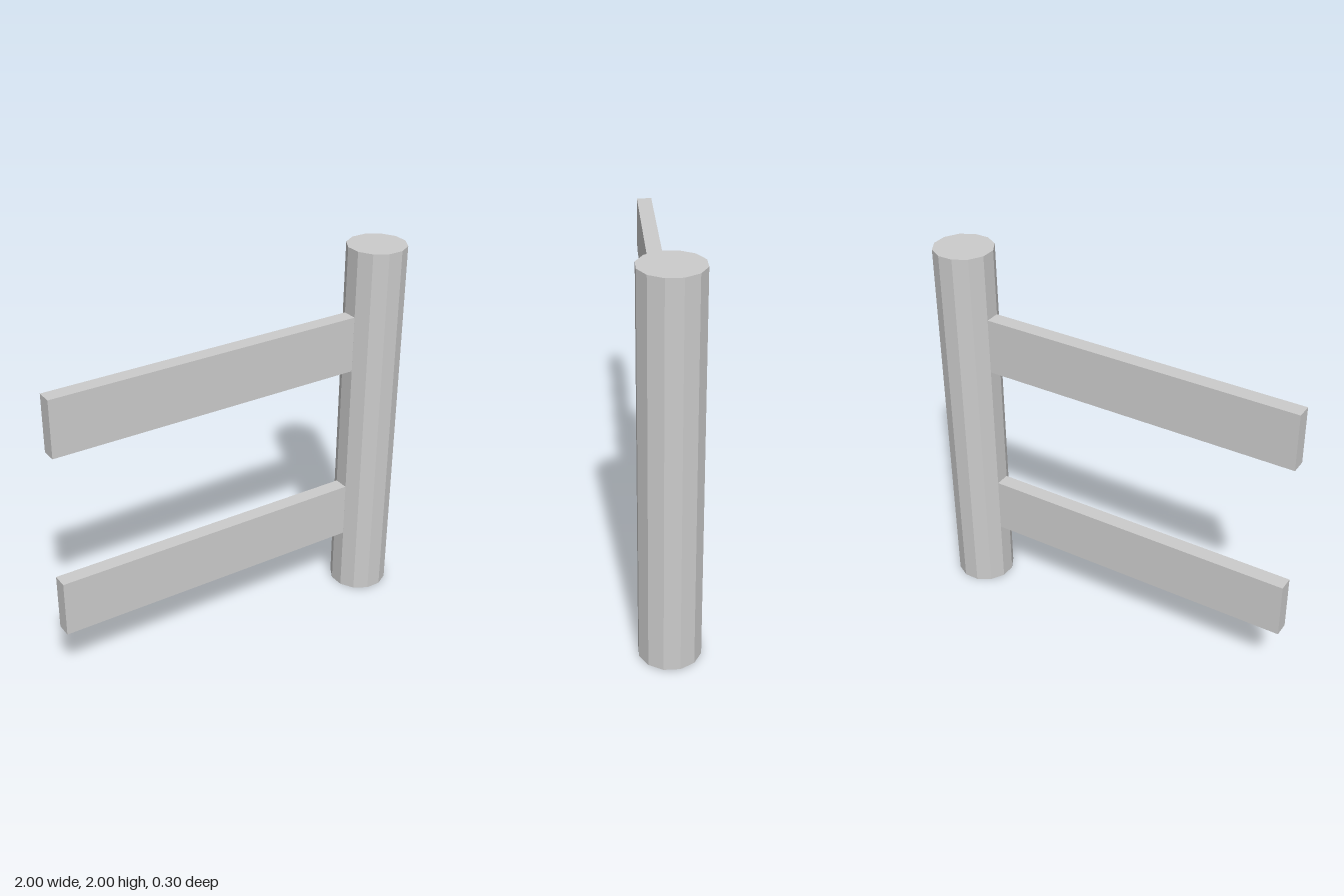
import * as THREE from 'three';

export function createModel() {
  const group = new THREE.Group();
  const material = new THREE.MeshStandardMaterial({ color: 0xcccccc, flatShading: true });

  const add = (name, geometry, x, y) => {
    const mesh = new THREE.Mesh(geometry, material);
    mesh.name = name;
    mesh.position.set(x, y, 0);
    group.add(mesh);
  };

  // Twelve-sided post, turned half a facet so flat faces point along x and z
  const sides = 12;
  const halfWidth = 0.15;
  const radius = halfWidth / Math.cos(Math.PI / sides);
  const post = new THREE.CylinderGeometry(radius, radius, 2, sides, 1).rotateY(Math.PI / sides);
  add('post', post, 0.85, 1);

  // Two flat rails butting against the post's facet
  const rail = new THREE.BoxGeometry(1.7, 0.3, 0.08);
  add('lowerRail', rail, -0.15, 0.5);
  add('upperRail', rail, -0.15, 1.5);

  return group;
}
